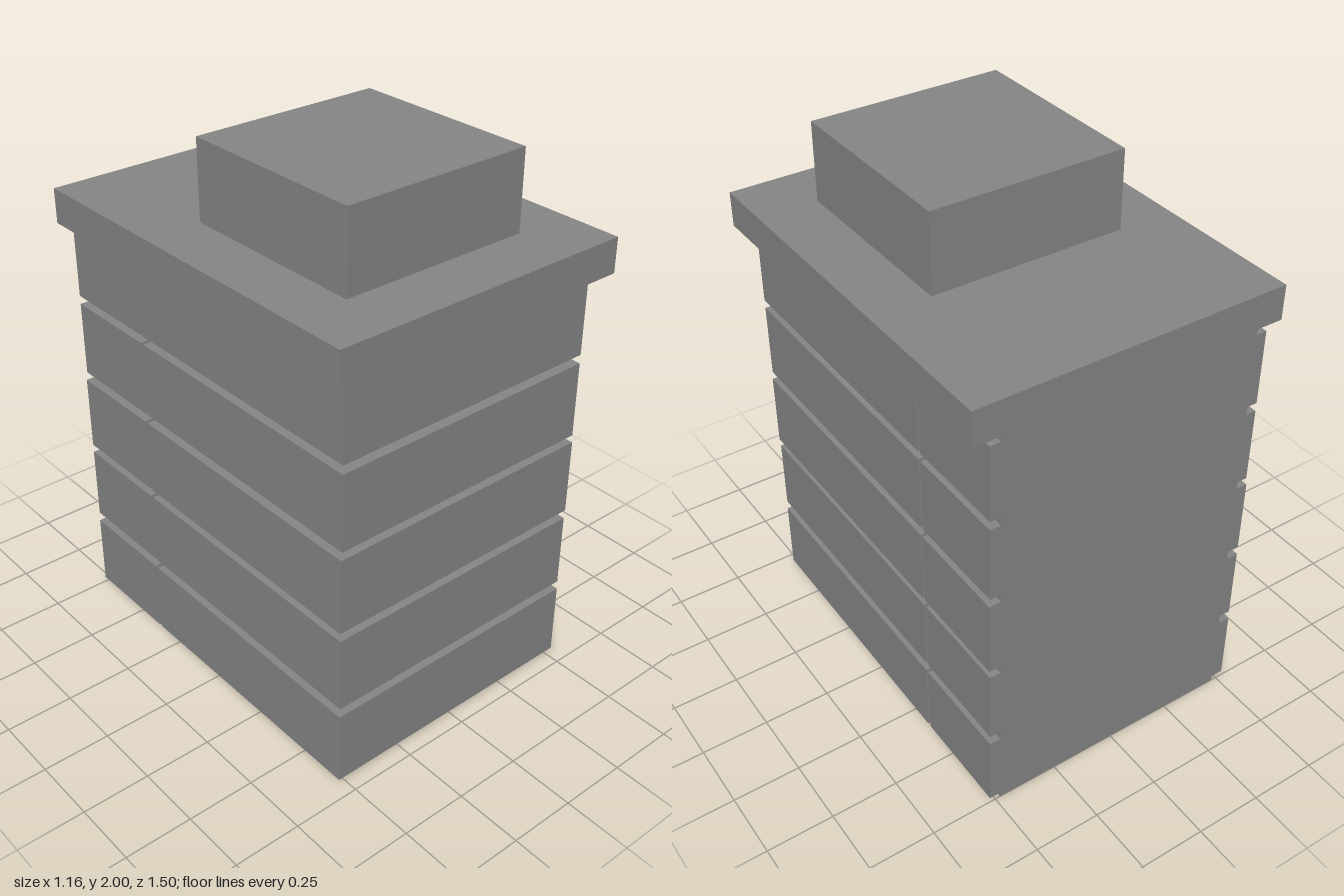
import * as THREE from 'three';

export function createModel() {
  const group = new THREE.Group();
  group.name = 'stonePier';
  const stone = new THREE.MeshStandardMaterial({ color: 0x868686 });
  stone.name = 'grey stone';

  // Box given by its limits on each axis
  function block(name, [x0, x1], [y0, y1], [z0, z1]) {
    const mesh = new THREE.Mesh(new THREE.BoxGeometry(x1 - x0, y1 - y0, z1 - z0), stone);
    mesh.position.set((x0 + x1) / 2, (y0 + y1) / 2, (z0 + z1) / 2);
    mesh.name = name;
    group.add(mesh);
  }

  // Recessed core, seen in the joints and as the flat back
  block('core', [-0.48, 0.48], [0, 1.58], [-0.75, 0.65]);

  // Five courses: a wide front stone and a short stone on each side at the back
  const courses = [
    { y: [0.02, 0.3], left: 0.522, right: -0.527 },
    { y: [0.335, 0.618], left: 0.52, right: -0.525 },
    { y: [0.65, 0.935], left: 0.523, right: -0.525 },
    { y: [0.965, 1.248], left: 0.52, right: -0.52 },
    { y: [1.28, 1.56], left: 0.52, right: -0.52 },
  ];
  courses.forEach(({ y, left, right }, i) => {
    block(`frontStone${i + 1}`, [right, left], y, [-0.35, 0.697]);
    block(`leftRearStone${i + 1}`, [0.48, left], y, [-0.75, -0.363]);
    block(`rightRearStone${i + 1}`, [right, -0.48], y, [-0.75, -0.363]);
  });

  // Overhanging slab and the block on top
  block('capSlab', [-0.58, 0.58], [1.58, 1.708], [-0.75, 0.75]);
  block('topBlock', [-0.367, 0.36], [1.708, 2], [-0.195, 0.53]);

  return group;
}
